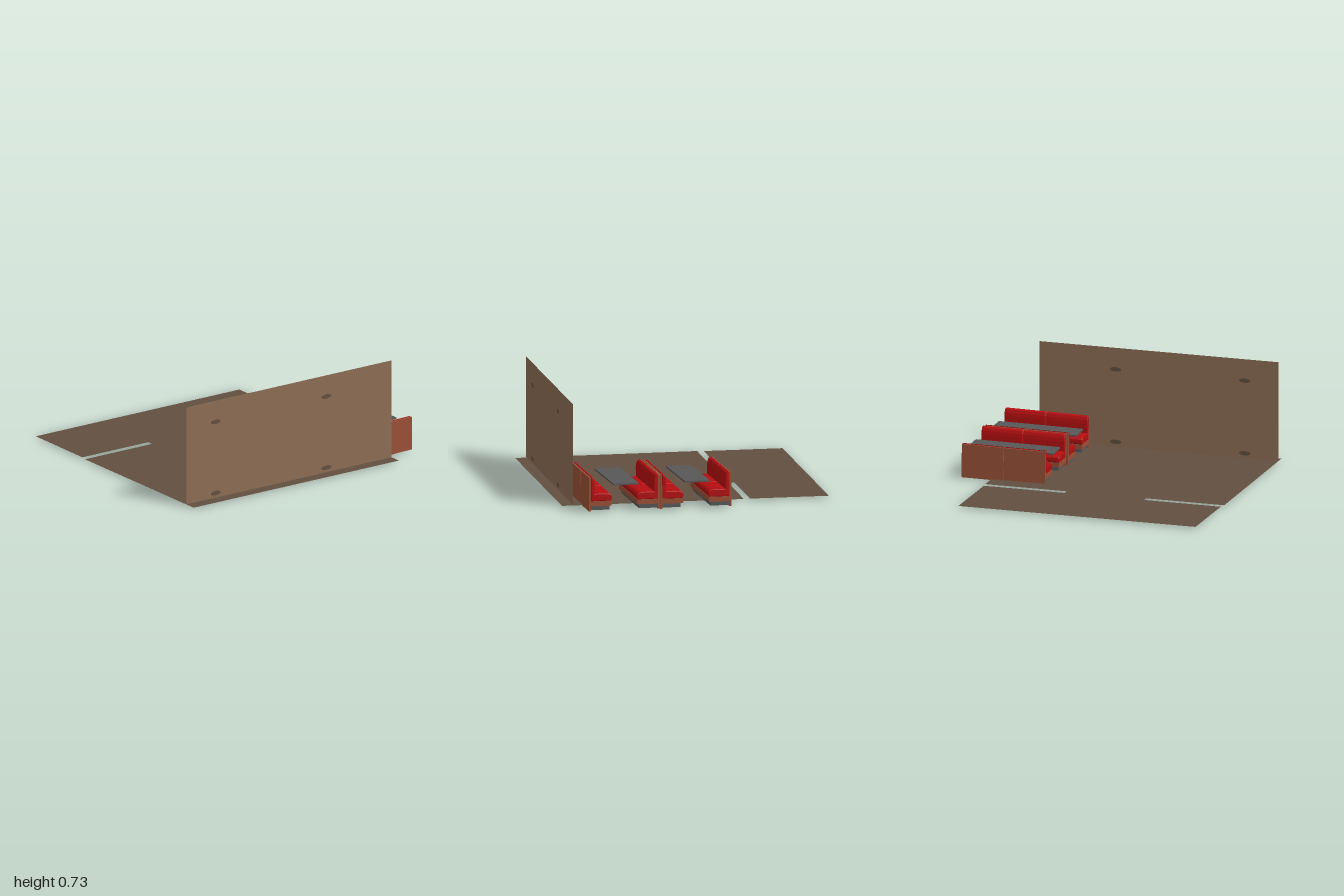
import * as THREE from 'three';

const mat = (name, color, side = THREE.FrontSide) => {
  const m = new THREE.MeshStandardMaterial({ color, side });
  m.name = name;
  return m;
};

export function createModel() {
  const floorBrown = mat('floorBrown', 0x625040, THREE.DoubleSide);
  const wallTan = mat('wallTan', 0x8d6d54, THREE.DoubleSide);
  const red = mat('seatRed', 0xb40e10);
  const wood = mat('woodBrown', 0x9a5036);
  const grey = mat('tableGrey', 0x575757);

  const model = new THREE.Group();
  model.name = 'diningBooths';
  const add = (parent, name, geo, material, x = 0, y = 0, z = 0) => {
    const mesh = new THREE.Mesh(geo, material);
    mesh.name = name;
    mesh.position.set(x, y, z);
    parent.add(mesh);
    return mesh;
  };
  // Box given by its x and y limits, centred on z
  const box = (parent, name, material, x0, x1, y0, y1, length, z) =>
    add(parent, name, new THREE.BoxGeometry(x1 - x0, y1 - y0, length), material, (x0 + x1) / 2, (y0 + y1) / 2, z);

  // Floor sheet with a slot cut in from the back and the front
  const floorShape = new THREE.Shape([
    [-0.95, -0.76], [-0.39, -0.76], [-0.39, -0.165], [-0.345, -0.165], [-0.345, -0.765], [0.95, -0.775],
    [0.95, 0.985], [-0.345, 0.995], [-0.345, 0.42], [-0.39, 0.42], [-0.39, 0.985], [-0.95, 0.985],
  ].map(([x, z]) => new THREE.Vector2(x, z)));
  add(model, 'floor', new THREE.ShapeGeometry(floorShape).rotateX(Math.PI / 2), floorBrown, 0, 0.012, 0);

  // Thin wall sheet with small dark patches on both faces
  add(model, 'wall', new THREE.PlaneGeometry(1.76, 0.715).rotateY(Math.PI / 2), wallTan, 0.87, 0.373, 0.11);
  const patch = new THREE.CylinderGeometry(1, 1, 0.004, 12).rotateZ(Math.PI / 2).scale(1, 0.016, 0.042);
  for (const z of [0.74, -0.21]) {
    for (const y of [0.575, 0.05]) add(model, 'wallPatch', patch, floorBrown, 0.87, y, z);
  }

  // Rounded cushion swept along z from an x-y profile
  const cushion = (points, length) => {
    const b = 0.007;
    const shape = new THREE.Shape(points.map(([x, y]) => new THREE.Vector2(x, y)));
    return new THREE.ExtrudeGeometry(shape, {
      depth: length - 2 * b, bevelThickness: b, bevelSize: b, bevelSegments: 3,
    }).translate(0, 0, -length / 2 + b);
  };
  const L = 0.303;
  const seatGeo = cushion([[0.022, 0.077], [0.152, 0.077], [0.158, 0.085], [0.158, 0.103],
    [0.15, 0.112], [0.135, 0.117], [0.022, 0.117]], L);
  const backGeo = cushion([[0.02, 0.11], [0.036, 0.11], [0.036, 0.19], [0.033, 0.215],
    [0.026, 0.232], [0.02, 0.236]], L);

  // Bench of two modules facing +x, panel back at x = 0
  const makeBench = () => {
    const bench = new THREE.Group();
    for (const z of [-0.154, 0.154]) {
      box(bench, 'backPanel', wood, 0, 0.014, 0, 0.24, L, z);
      box(bench, 'seatBoard', wood, 0.014, 0.16, 0.036, 0.071, L, z);
      add(bench, 'seatCushion', seatGeo, red, 0, 0, z);
      add(bench, 'backCushion', backGeo, red, 0, 0, z);
      // Hollow plinth
      box(bench, 'plinthFront', grey, 0.135, 0.147, 0.007, 0.036, 0.285, z);
      box(bench, 'plinthBack', grey, 0.016, 0.028, 0.007, 0.036, 0.285, z);
      for (const s of [-1, 1]) box(bench, 'plinthEnd', grey, 0.028, 0.135, 0.007, 0.036, 0.012, z + s * 0.1365);
    }
    return bench;
  };

  // Slightly tilted and turned holder for each piece of furniture
  const place = (name, child, x, y, z, turn) => {
    const holder = new THREE.Group();
    holder.name = name;
    holder.position.set(x, y, z);
    holder.rotation.set(0.014, turn, 0);
    holder.add(child);
    model.add(holder);
  };

  // Two booths: bench, table, facing bench
  for (const dx of [0, 0.507]) {
    place('leftFacingBench', makeBench(), -0.207 + dx, 0.005, -0.678, 0.025);
    const facing = makeBench();
    facing.rotation.y = Math.PI;
    place('rightFacingBench', facing, 0.296 + dx, 0.005, -0.69, 0.012);
    const table = new THREE.Mesh(new THREE.BoxGeometry(0.178, 0.011, 0.615), grey);
    table.name = 'tableTop';
    place('table', table, 0.036 + dx, 0.188, -0.677, 0.032);
  }
  return model;
}
